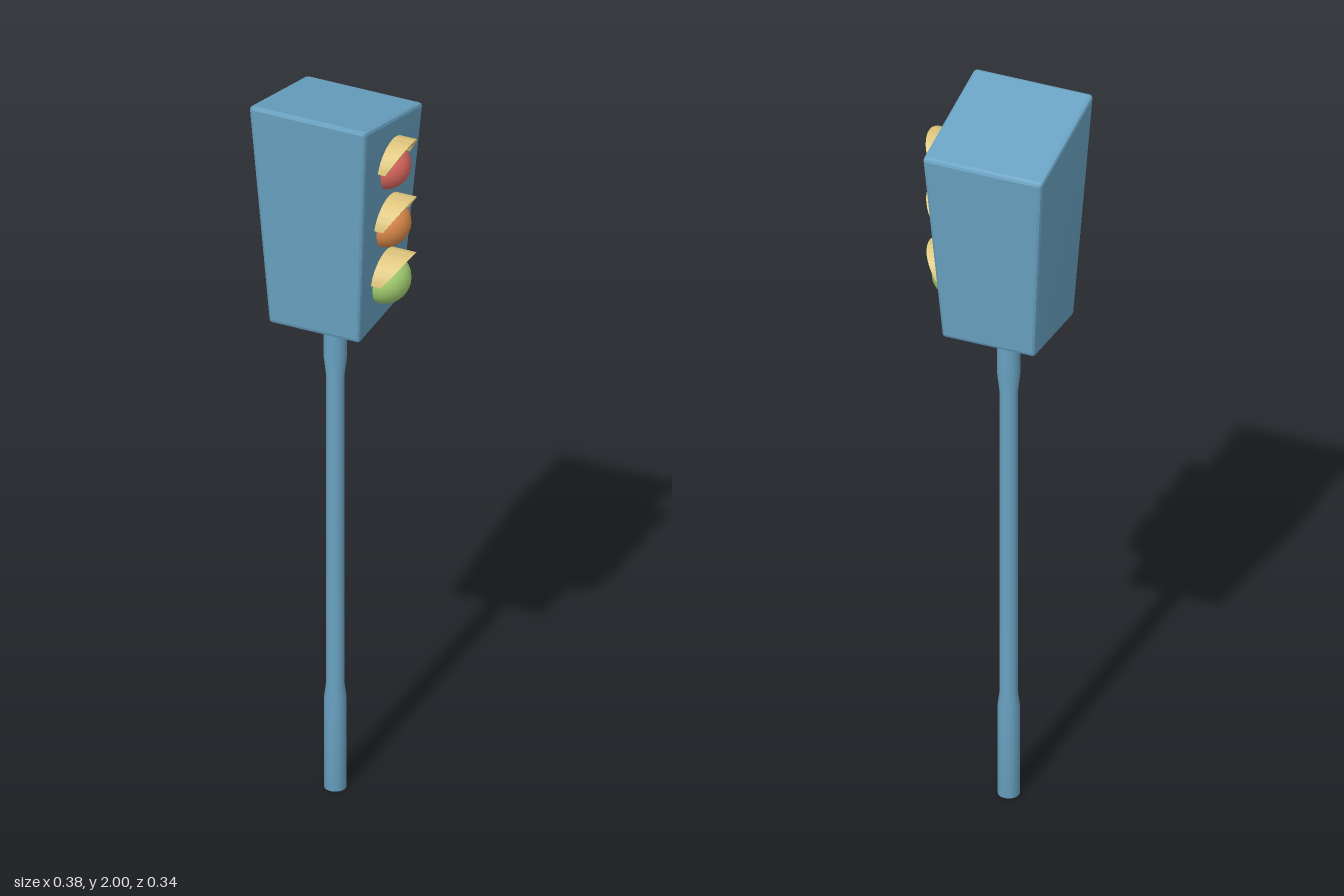
import * as THREE from 'three';
import { toCreasedNormals } from 'three/addons/utils/BufferGeometryUtils.js';
import { RoundedBoxGeometry } from 'three/addons/geometries/RoundedBoxGeometry.js';

const material = (name, color, side = THREE.FrontSide) => {
  const m = new THREE.MeshStandardMaterial({ color, side });
  m.name = name;
  return m;
};

const add = (parent, name, geometry, mat) => {
  const mesh = new THREE.Mesh(geometry, mat);
  mesh.name = name;
  parent.add(mesh);
  return mesh;
};

// Bevelled box, wider at the top, with sloping top and bottom faces
function housingGeometry() {
  const h = 0.3, hw = 0.16;
  const g = new RoundedBoxGeometry(2 * hw, 2 * h, 2 * hw, 1, 0.01);
  const p = g.attributes.position;
  const lerp = THREE.MathUtils.lerp;
  for (let i = 0; i < p.count; i++) {
    const u = p.getX(i) / hw, w = p.getZ(i) / hw;
    const t = (p.getY(i) + h) / (2 * h);
    const bottom = 1.373 - 0.008 * w;
    const top = 1.96 + 0.04 * w;
    p.setXYZ(i, -0.025 + u * lerp(0.126, 0.163, t), lerp(bottom, top, t), w * lerp(0.127, 0.169, t));
  }
  return toCreasedNormals(g, 0.3);
}

// Arched hood along +x, its front edge cut back towards the lower ends
function hoodGeometry(backX, endX, topX) {
  const outer = 0.081, inner = 0.068, start = 0.2;
  const shape = new THREE.Shape();
  shape.absarc(0, 0, outer, start, Math.PI - start, false);
  shape.absarc(0, 0, inner, Math.PI - start, start, true);
  shape.closePath();
  const g = new THREE.ExtrudeGeometry(shape, { depth: 1, bevelEnabled: false, curveSegments: 12 });
  g.rotateY(Math.PI / 2);
  const p = g.attributes.position;
  const low = inner * Math.sin(start);
  for (let i = 0; i < p.count; i++) {
    const k = (p.getY(i) - low) / (outer - low);
    p.setX(i, p.getX(i) > 0.5 ? endX + (topX - endX) * k : backX);
  }
  return toCreasedNormals(g, 0.6);
}

export function createModel() {
  const model = new THREE.Group();
  model.name = 'trafficLight';
  const blue = material('blue metal', 0x69a2c2);
  const tan = material('tan hood', 0xdcc47c, THREE.DoubleSide);

  // Pole with a thicker foot and collar
  const profile = [
    [0, 0], [0.028, 0], [0.028, 0.26], [0.023, 0.3],
    [0.023, 1.18], [0.03, 1.24], [0.03, 1.42],
  ].map(([r, y]) => new THREE.Vector2(r, y));
  add(model, 'pole', new THREE.LatheGeometry(profile, 16), blue).position.x = -0.027;

  add(model, 'housing', housingGeometry(), blue);

  // Three lamps on the +x face, each under a hood
  const lamps = [
    ['red', 0xdc675f, 1.822, 0.064, 0.148],
    ['orange', 0xdf8b4a, 1.657, 0.066, 0.142],
    ['green', 0xa6d172, 1.497, 0.068, 0.136],
  ];
  for (const [name, color, y, r, endX] of lamps) {
    const lamp = new THREE.Group();
    lamp.name = name + 'Lamp';
    lamp.position.y = y;
    add(lamp, name + 'Lens', new THREE.SphereGeometry(r, 20, 14), material(name + ' lens', color))
      .position.x = 0.178 - r;
    add(lamp, name + 'Hood', hoodGeometry(0.09, endX, 0.188), tan).position.y = -0.003;
    model.add(lamp);
  }
  return model;
}
